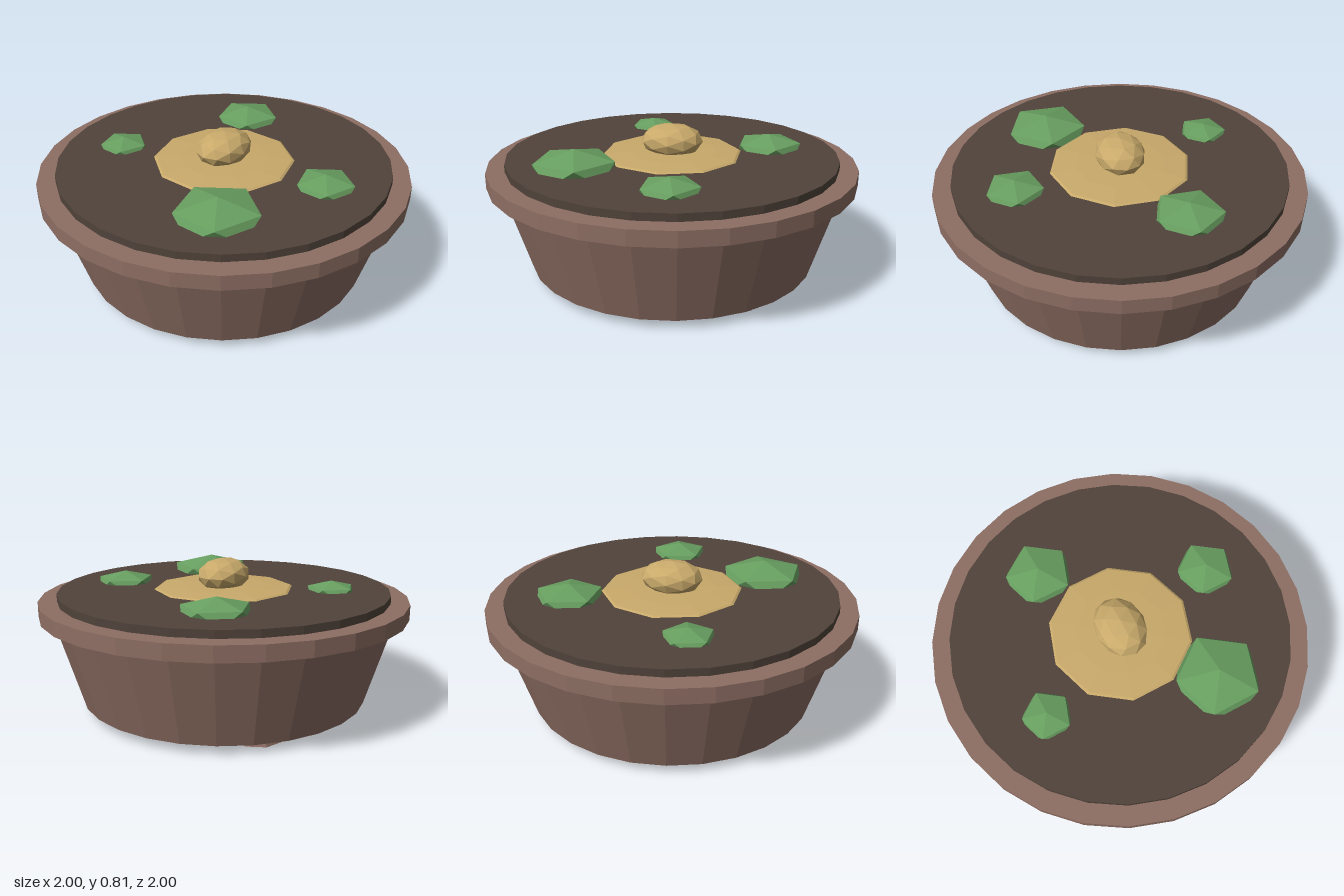
import * as THREE from 'three';

const mat = (name, color) => {
  const m = new THREE.MeshStandardMaterial({ color, flatShading: true });
  m.name = name;
  return m;
};

export function createModel() {
  const group = new THREE.Group();
  group.name = 'planter';
  const clay = mat('clay brown', 0x8d6e63);
  const earth = mat('dark soil', 0x50433a);
  const sand = mat('sand', 0xc8a96a);
  const leaf = mat('leaf green', 0x689f60);

  const add = (name, geometry, material, x = 0, y = 0, z = 0) => {
    const mesh = new THREE.Mesh(geometry, material);
    mesh.name = name;
    mesh.position.set(x, y, z);
    group.add(mesh);
    return mesh;
  };
  // Cylinder placed by its bottom and top heights
  const drum = (name, material, rTop, rBottom, y0, y1, sides, x = 0, z = 0) =>
    add(name, new THREE.CylinderGeometry(rTop, rBottom, y1 - y0, sides), material, x, (y0 + y1) / 2, z);

  // Bowl, rim and soil
  drum('bowl', clay, 0.95, 0.785, 0.05, 0.59, 28);
  drum('rim', clay, 1, 1, 0.525, 0.605, 28);
  drum('soil', earth, 0.9, 0.9, 0.56, 0.645, 28);

  // Four feet
  for (const x of [-0.413, 0.413]) {
    for (const z of [-0.413, 0.413]) drum('foot', clay, 0.105, 0.132, 0, 0.07, 8, x, z);
  }

  // Low sand mound
  const profile = [[0.385, 0.643], [0.37, 0.652], [0.24, 0.661], [0, 0.667]];
  add('sandMound', new THREE.LatheGeometry(profile.map(p => new THREE.Vector2(...p)), 10), sand);

  // Faceted stone in the middle
  add('stone', new THREE.IcosahedronGeometry(1, 1), sand, 0, 0.718, 0).scale.set(0.17, 0.092, 0.135);

  // Squashed plant clumps, each with one corner straight up
  const clump = new THREE.IcosahedronGeometry(1, 0);
  clump.rotateZ(-Math.atan(2 / (1 + Math.sqrt(5))));
  const clumps = [
    [-0.45, 0.33, 0.247], [0.505, -0.23, 0.199], [0.105, 0.58, 0.171], [-0.225, -0.54, 0.143],
  ];
  for (const [x, z, r] of clumps) {
    add('plantClump', clump, leaf, x, 0.637, z).scale.set(r, r * 0.4, r);
  }
  return group;
}
